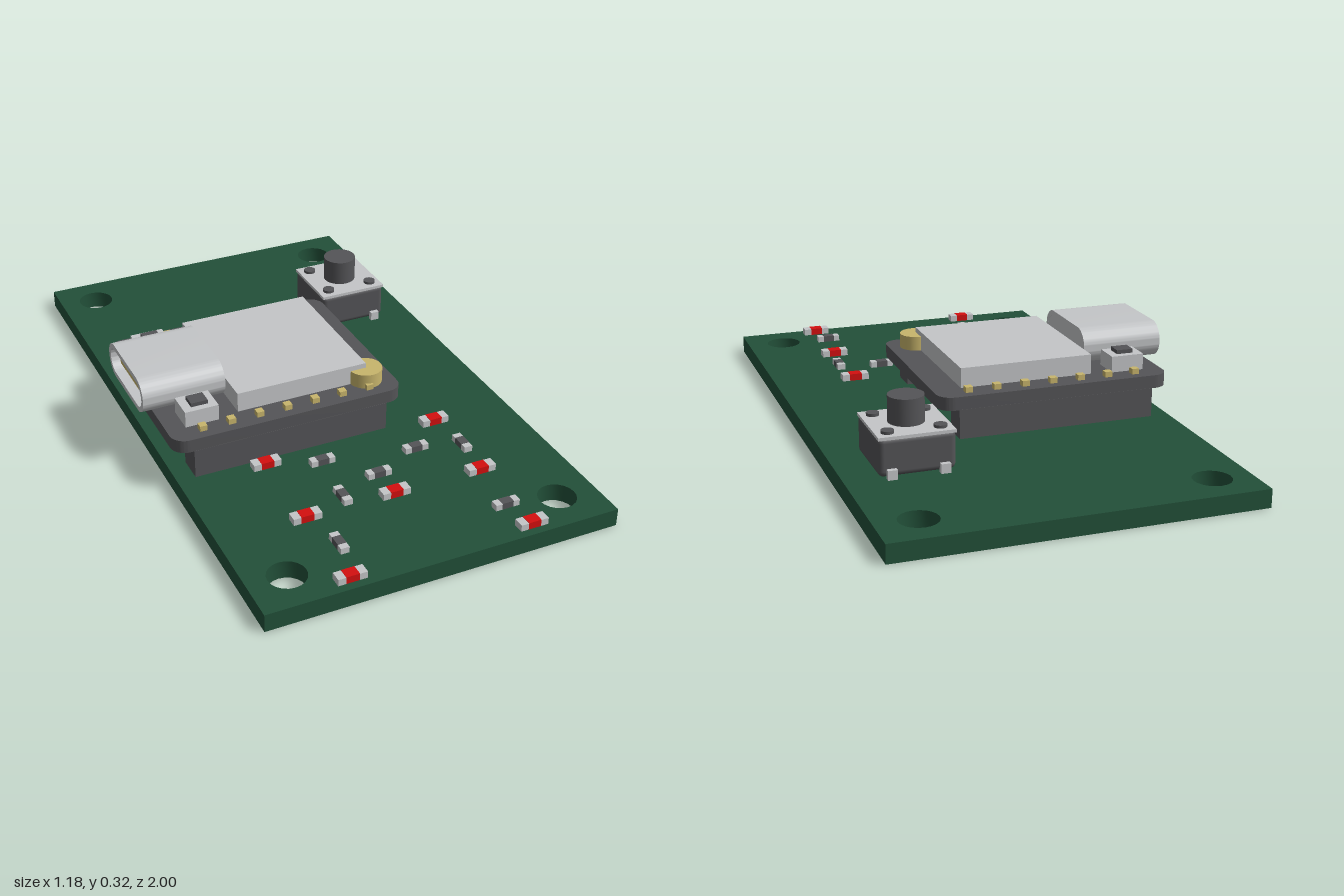
import * as THREE from 'three';
import { toCreasedNormals } from 'three/addons/utils/BufferGeometryUtils.js';
import { RoundedBoxGeometry } from 'three/addons/geometries/RoundedBoxGeometry.js';

const material = (name, color) => {
  const m = new THREE.MeshStandardMaterial({ color });
  m.name = name;
  return m;
};

// Rounded rectangle outline centred on (cx, cy)
function roundedRect(w, h, r, cx = 0, cy = 0, Type = THREE.Shape) {
  const s = new Type();
  const x = w / 2 - r, y = h / 2 - r;
  s.absarc(cx + x, cy + y, r, 0, Math.PI / 2);
  s.absarc(cx - x, cy + y, r, Math.PI / 2, Math.PI);
  s.absarc(cx - x, cy - y, r, Math.PI, Math.PI * 1.5);
  s.absarc(cx + x, cy - y, r, Math.PI * 1.5, Math.PI * 2);
  s.closePath();
  return s;
}

const extrude = (shape, depth) => toCreasedNormals(
  new THREE.ExtrudeGeometry(shape, { depth, bevelEnabled: false, curveSegments: 10 }), 0.6);

export function createModel() {
  const green = material('board green', 0x225039);
  const dark = material('dark plastic', 0x545457);
  const silver = material('silver metal', 0xc4c6c8);
  const gold = material('gold contact', 0xc8b56c);
  const red = material('red lens', 0xd40f0f);

  const model = new THREE.Group();
  model.name = 'circuitBoard';

  const add = (parent, name, geometry, mat) => {
    const mesh = new THREE.Mesh(geometry, mat);
    mesh.name = name;
    parent.add(mesh);
    return mesh;
  };
  // Box given by its lower and upper limits
  const box = (parent, name, mat, x0, x1, y0, y1, z0, z1) => {
    const g = new THREE.BoxGeometry(x1 - x0, y1 - y0, z1 - z0);
    g.translate((x0 + x1) / 2, (y0 + y1) / 2, (z0 + z1) / 2);
    return add(parent, name, g, mat);
  };
  // Upright cylinder standing on y0
  const post = (parent, name, mat, r, x, y0, y1, z) => {
    const g = new THREE.CylinderGeometry(r, r, y1 - y0, 28);
    g.translate(x, (y0 + y1) / 2, z);
    return add(parent, name, g, mat);
  };
  const group = (name, x = 0, y = 0, z = 0) => {
    const g = new THREE.Group();
    g.name = name;
    g.position.set(x, y, z);
    model.add(g);
    return g;
  };

  // Main board with four mounting holes
  const outline = new THREE.Shape([[-0.555, -1], [0.59, -1], [0.59, 1], [-0.555, 1]]
    .map(([x, y]) => new THREE.Vector2(x, y)));
  for (const x of [-0.43, 0.46]) for (const y of [-0.87, 0.873]) {
    outline.holes.push(new THREE.Path().absarc(x, y, 0.06, 0, Math.PI * 2, true));
  }
  add(model, 'mainBoard', extrude(outline, 0.059).rotateX(-Math.PI / 2), green).position.y = 0.001;

  // Controller module raised on two header strips
  const controller = group('controllerModule');
  add(controller, 'moduleBoard',
    extrude(roundedRect(0.777, 0.656, 0.05), 0.043).rotateX(-Math.PI / 2), dark).position.set(-0.167, 0.155, 0);
  for (const s of [-1, 1]) {
    const z = s * 0.285;
    box(controller, 'headerStrip', dark, -0.495, 0.16, 0.06, 0.156, z - 0.044, z + 0.044);
    for (let i = 0; i < 7; i++) {
      const x = -0.45 + i * 0.0945;
      box(controller, 'headerPin', gold, x - 0.012, x + 0.012, 0, 0.216, z - 0.012, z + 0.012);
    }
    // Side push button beside the socket
    box(controller, 'sideButtonBase', silver, -0.494, -0.384, 0.198, 0.251, s * 0.21 - 0.046, s * 0.21 + 0.046);
    box(controller, 'sideButtonCap', dark, -0.466, -0.411, 0.25, 0.264, s * 0.21 - 0.024, s * 0.21 + 0.024);
  }
  box(controller, 'shieldCan', silver, -0.315, 0.128, 0.198, 0.263, -0.245, 0.24);
  post(controller, 'antennaConnector', gold, 0.055, 0.129, 0.198, 0.246, 0.234);

  // Socket: hollow metal shell, dark back and a gold tongue
  const socket = group('socket', -0.595, 0.258, -0.004);
  const shell = roundedRect(0.33, 0.118, 0.0585);
  shell.holes.push(roundedRect(0.296, 0.084, 0.0415, 0, 0, THREE.Path));
  add(socket, 'socketShell', extrude(shell, 0.272).rotateY(Math.PI / 2), silver);
  const back = add(socket, 'socketBack', extrude(roundedRect(0.298, 0.086, 0.0425), 0.06).rotateY(Math.PI / 2), dark);
  back.position.x = 0.2;
  add(socket, 'socketRearCover',
    extrude(roundedRect(0.32, 0.11, 0.0545), 0.01).rotateY(Math.PI / 2), silver).position.x = 0.2615;
  box(socket, 'socketTongue', gold, 0.02, 0.205, -0.013, 0.013, -0.11, 0.11);

  // Large tactile switch
  const tact = group('tactileSwitch', 0.368, 0, -0.45);
  add(tact, 'switchBody', new RoundedBoxGeometry(0.238, 0.122, 0.238, 3, 0.018), dark).position.y = 0.124;
  box(tact, 'switchPlate', silver, -0.119, 0.119, 0.178, 0.188, -0.119, 0.119);
  post(tact, 'switchPlunger', dark, 0.056, 0, 0.186, 0.272, 0);
  for (const x of [-0.081, 0.081]) for (const s of [-1, 1]) {
    post(tact, 'switchRivet', dark, 0.02, x, 0.187, 0.197, s * 0.081);
    box(tact, 'switchLeg', silver, x - 0.015, x + 0.015, 0, 0.09, s * 0.126 - 0.009, s * 0.126 + 0.009);
  }

  // Small surface-mount part: coloured centre with a metal cap at each end
  const chip = (name, mat, x, z, upright, length, centre, width, height) => {
    const g = group(name, x, 0.06, z);
    if (upright) g.rotation.y = Math.PI / 2;
    const a = centre / 2, b = length / 2, w = width / 2;
    box(g, 'chipBody', mat, -a, a, 0, height, -w, w);
    for (const s of [-1, 1]) {
      const m = s * (a + b) / 2, h = (b - a) / 2;
      box(g, 'chipEnd', silver, m - h, m + h, 0, height - 0.001, -w, w);
    }
  };
  for (const [x, z] of [[-0.275, 0.362], [0.316, 0.362], [-0.275, 0.658], [0.02, 0.658],
    [0.316, 0.658], [-0.275, 0.956], [0.316, 0.956]]) {
    chip('indicatorLight', red, x, z, false, 0.092, 0.042, 0.036, 0.023);
  }
  for (const [x, z, upright] of [[-0.11, 0.42, false], [0.188, 0.476, false], [0.02, 0.551, false],
    [0.294, 0.846, false], [0.334, 0.517, true], [-0.131, 0.611, true], [-0.24, 0.812, true]]) {
    chip('resistor', dark, x, z, upright, 0.08, 0.038, 0.028, 0.021);
  }

  return model;
}
